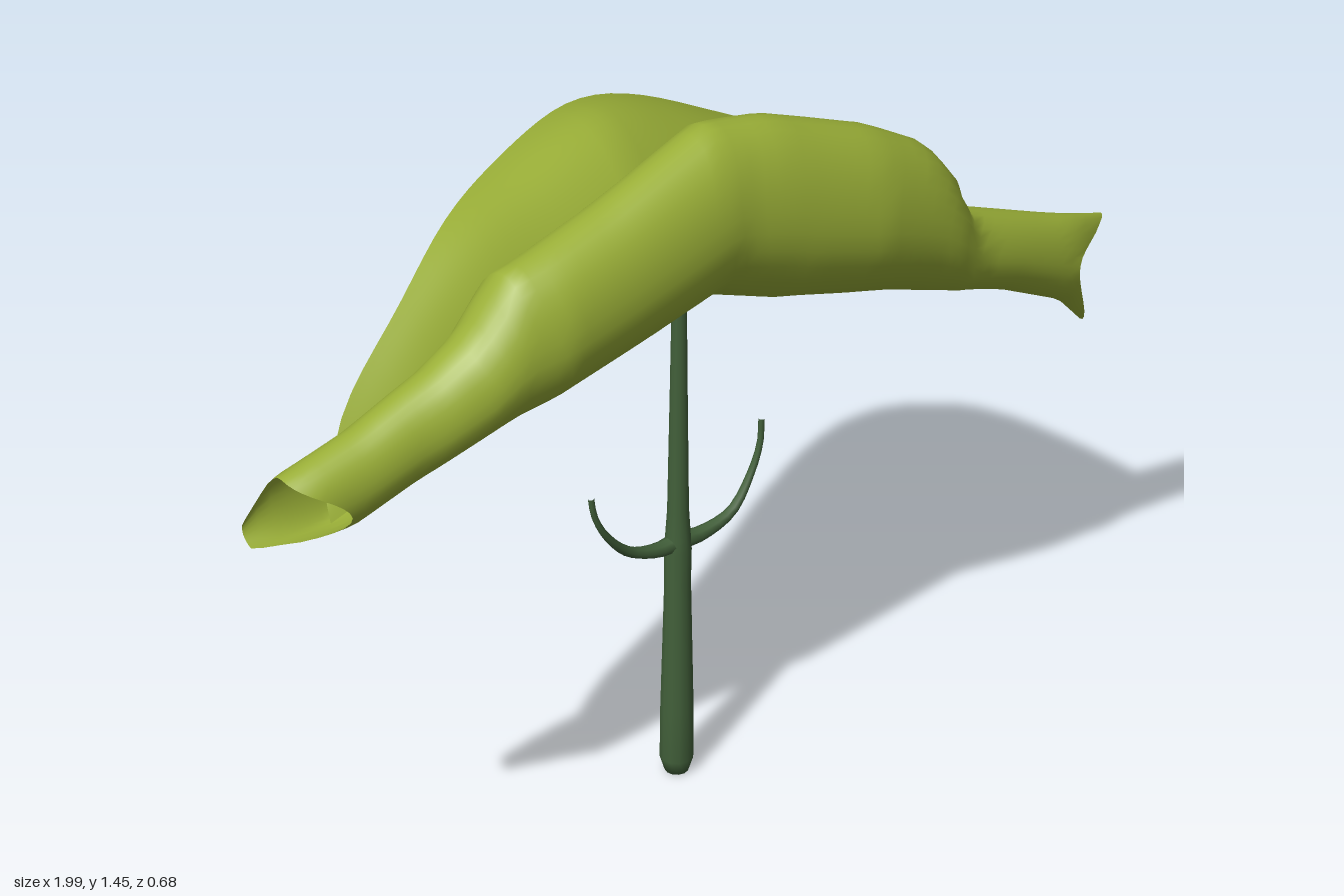
import * as THREE from 'three';

const leafGreen = new THREE.MeshStandardMaterial({ color: 0x9bb038, side: THREE.DoubleSide });
leafGreen.name = 'leaf green';
const stemGreen = new THREE.MeshStandardMaterial({ color: 0x42603a });
stemGreen.name = 'stem green';

// Outlines of the rolled half of the leaf, as [x, value] pairs
const topY = [[-1, 1.0], [-0.95, 1.07], [-0.8, 1.11], [-0.65, 1.17], [-0.57, 1.22], [-0.5, 1.31], [-0.28, 1.37],
  [-0.04, 1.45], [0.1, 1.43], [0.33, 1.35], [0.46, 1.28], [0.53, 1.2], [0.56, 1.11], [0.8, 1.02], [1, 0.95]];
const bottomY = [[-1, 0.94], [-0.83, 0.93], [-0.57, 1.0], [-0.2, 1.06], [-0.03, 1.09], [0.14, 1.03], [0.4, 0.97],
  [0.7, 0.88], [0.88, 0.8], [0.95, 0.73], [1, 0.78]];
const frontZ = [[-1, 0.24], [-0.92, 0.27], [-0.7, 0.28], [-0.42, 0.33], [0, 0.31], [0.3, 0.335], [0.5, 0.32],
  [0.6, 0.29], [0.87, 0.27], [1, 0.22]];
const backZ = [[-1, 0.16], [-0.6, 0.145], [-0.2, 0.12], [0, 0.1], [0.2, 0.11], [0.5, 0.15], [1, 0.18]];

function at(table, x) {
  let i = 0;
  while (i < table.length - 2 && x > table[i + 1][0]) i++;
  const [a, b] = [table[i], table[i + 1]];
  return THREE.MathUtils.lerp(a[1], b[1], THREE.MathUtils.clamp((x - a[0]) / (b[0] - a[0]), 0, 1));
}

// Point on the roll: angle 0 is the top, PI/2 the front, PI the rib at the lower back
function rollPoint(x, a) {
  const t = at(topY, x), b = at(bottomY, x), f = at(frontZ, x), k = at(backZ, x);
  const s = Math.sin(a), c = Math.cos(a);
  const ribShift = c < 0 ? 0.9 * (1 - x ** 4) * (Math.abs(s) - 1) : 0;
  return new THREE.Vector3(x, (t + b) / 2 + (t - b) / 2 * c, (f + k) / 2 + (f - k) / 2 * (s + ribShift));
}

// Smooth grid surface from a point function; closed grids wrap in the second direction
function gridSurface(rows, cols, closed, point) {
  const pos = [], index = [], stride = closed ? cols : cols + 1;
  for (let i = 0; i <= rows; i++)
    for (let j = 0; j < stride; j++) pos.push(...point(i / rows, j / cols).toArray());
  for (let i = 0; i < rows; i++) {
    for (let j = 0; j < cols; j++) {
      const a = i * stride + j, b = i * stride + (j + 1) % stride;
      index.push(a, a + stride, b, b, a + stride, b + stride);
    }
  }
  const g = new THREE.BufferGeometry();
  g.setAttribute('position', new THREE.Float32BufferAttribute(pos, 3));
  g.setIndex(index);
  g.computeVertexNormals();
  return g;
}

// Tube that tapers from r0 to r1 along its path
function taperedTube(points, r0, r1) {
  const path = new THREE.CatmullRomCurve3(points.map(p => new THREE.Vector3(...p)));
  const segs = 14, sides = 8, g = new THREE.TubeGeometry(path, segs, 1, sides);
  const p = g.attributes.position, v = new THREE.Vector3();
  for (let i = 0; i < p.count; i++) {
    const u = Math.floor(i / (sides + 1)) / segs, c = path.getPointAt(u);
    v.fromBufferAttribute(p, i).sub(c).multiplyScalar(r1 + (r0 - r1) * (1 - u) ** 2).add(c);
    p.setXYZ(i, v.x, v.y, v.z);
  }
  return g;
}

export function createModel() {
  const model = new THREE.Group();
  const add = (name, geometry, material) => {
    const mesh = new THREE.Mesh(geometry, material);
    mesh.name = name;
    model.add(mesh);
    return mesh;
  };

  // Rolled half: an open tube with ragged ends
  add('rolledLeafHalf', gridSurface(64, 32, true, (u, w) => {
    const a = w * Math.PI * 2, s = Math.sin(a), c = Math.cos(a);
    const left = Math.max(-1, -0.95 + 0.08 * s * (1 - c));
    const right = 0.97 - 0.1 * Math.max(0, s) ** 3 + 0.02 * c;
    return rollPoint(THREE.MathUtils.lerp(left, right, u), a);
  }), leafGreen);

  // Open half: an arched blade from the rib up and back to its curved margin
  const margin = new THREE.CatmullRomCurve3([
    [-0.83, 0.96, 0.16], [-0.74, 1.07, 0.09], [-0.57, 1.19, 0.02], [-0.4, 1.27, -0.07], [-0.2, 1.29, -0.18],
    [0, 1.295, -0.27], [0.12, 1.275, -0.31], [0.25, 1.23, -0.335], [0.42, 1.15, -0.338], [0.62, 1.055, -0.27],
    [0.73, 0.98, -0.17], [0.8, 0.92, -0.05], [0.85, 0.87, 0.06], [0.92, 0.79, 0.19],
  ].map(p => new THREE.Vector3(...p)));
  add('openLeafHalf', gridSurface(48, 16, false, (u, w) => {
    const rib = rollPoint(THREE.MathUtils.lerp(-0.84, 0.92, u), Math.PI);
    const p = rib.lerp(margin.getPointAt(u), w);
    p.y += 0.11 * Math.sin(w * Math.PI) * Math.sin(u * Math.PI) ** 2;
    return p;
  }), leafGreen);

  // Stem, tapering upward
  const stem = add('stem', new THREE.LatheGeometry([
    [0, 0], [0.024, 0.002], [0.034, 0.035], [0.033, 0.15], [0.026, 0.44], [0.027, 0.51], [0.025, 0.54],
    [0.021, 0.6], [0.017, 0.85], [0.014, 1.06], [0.018, 1.09], [0, 1.11],
  ].map(p => new THREE.Vector2(...p)), 12), stemGreen);
  stem.position.set(-0.003, 0, 0.1);

  // Curled tendrils
  add('leftTendril', taperedTube([[0, 0.53, 0.1], [0.05, 0.524, 0.1], [0.13, 0.545, 0.1], [0.185, 0.615, 0.095],
    [0.204, 0.67, 0.095], [0.206, 0.72, 0.095]], 0.019, 0.006), stemGreen);
  add('rightTendril', taperedTube([[0, 0.53, 0.1], [-0.05, 0.527, 0.1], [-0.12, 0.55, 0.1], [-0.18, 0.61, 0.105],
    [-0.208, 0.665, 0.105], [-0.215, 0.705, 0.105]], 0.019, 0.006), stemGreen);

  return model;
}
